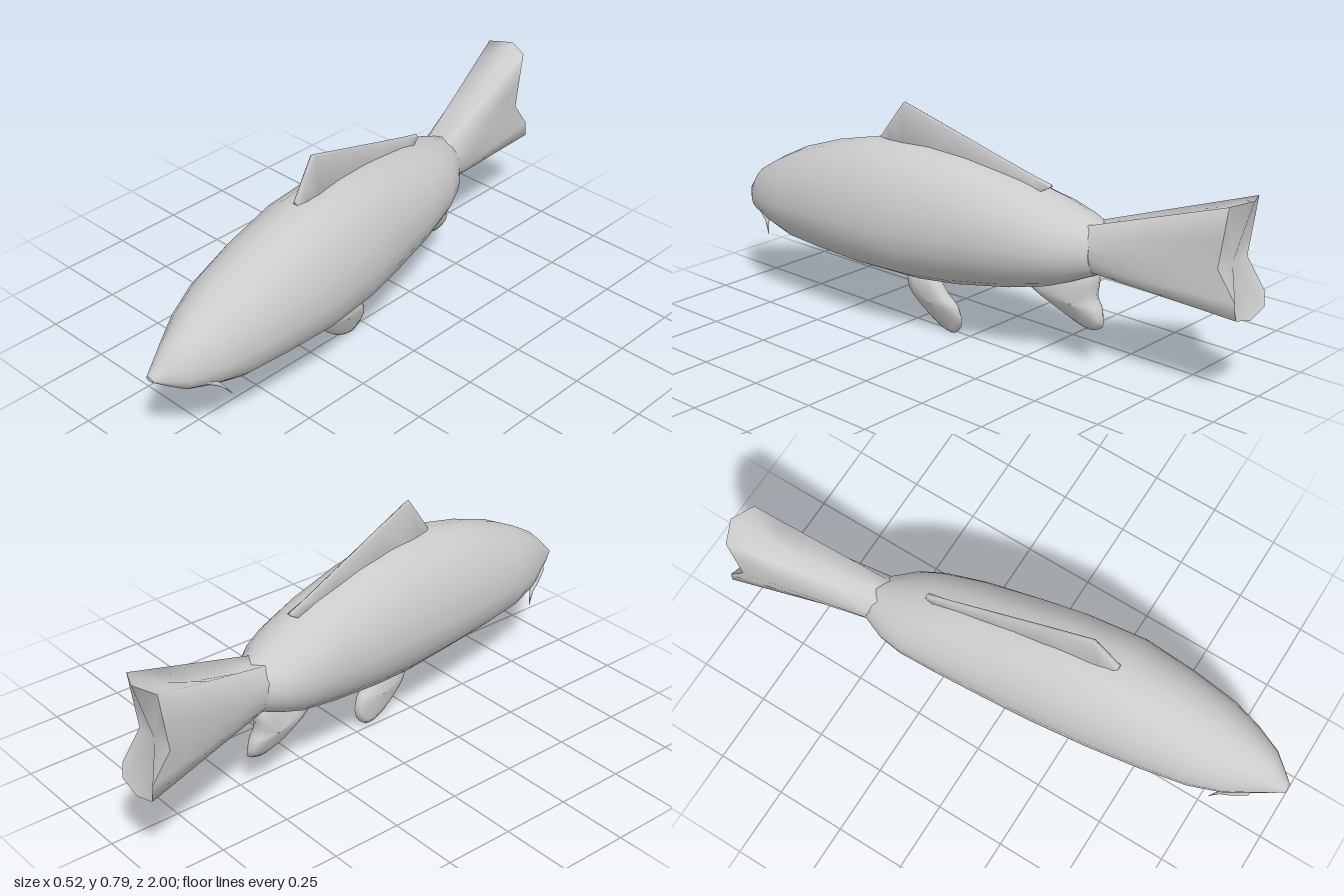
import * as THREE from 'three';

const material = new THREE.MeshStandardMaterial({ color: 0xcccccc });
const twoSided = new THREE.MeshStandardMaterial({ color: 0xcccccc, side: THREE.DoubleSide });
const lerp = THREE.MathUtils.lerp;

// Linear lookup in a list of [key, value] with falling keys
function lookup(list, k) {
  for (let i = 1; i < list.length; i++) {
    const [k0, v0] = list[i - 1], [k1, v1] = list[i];
    if (k >= k1) return lerp(v0, v1, (k0 - k) / (k0 - k1));
  }
  return list[list.length - 1][1];
}

// x of the fish's gently bent middle line
const MIDLINE = [[1, 0.09], [0.73, 0.085], [0.3, 0.053], [0, 0.01], [-0.35, -0.047], [-0.5, -0.08], [-1, -0.18]];
const midX = (z) => lookup(MIDLINE, z);

function toMesh(name, positions, index, mat = material) {
  const g = new THREE.BufferGeometry();
  g.setAttribute('position', new THREE.Float32BufferAttribute(positions, 3));
  g.setIndex(index);
  g.computeVertexNormals();
  const mesh = new THREE.Mesh(g, mat);
  mesh.name = name;
  return mesh;
}

// Skin over closed rings ordered from front to back; both ends get a hard-edged fan
function loft(name, rings, backCentre) {
  const n = rings[0].length, pos = rings.flat(2), idx = [];
  for (let i = 0; i < rings.length - 1; i++) {
    for (let j = 0; j < n; j++) {
      const a = i * n + j, b = i * n + (j + 1) % n;
      idx.push(a, a + n, b, b, a + n, b + n);
    }
  }
  const cap = (ring, flip, centre) => {
    const base = pos.length / 3;
    const mid = centre || [0, 1, 2].map((k) => ring.reduce((s, p) => s + p[k], 0) / n);
    pos.push(...ring.flat(), ...mid);
    for (let j = 0; j < n; j++) {
      const a = base + j, b = base + (j + 1) % n;
      idx.push(base + n, flip ? b : a, flip ? a : b);
    }
  };
  cap(rings[0], false);
  cap(rings[rings.length - 1], true, backCentre);
  return toMesh(name, pos, idx);
}

// Body sections: z, centre x, half width, bottom y, widest y, top y
const BODY = [
  [1.0, 0.09, 0.015, 0.343, 0.35, 0.357],
  [0.96, 0.095, 0.045, 0.315, 0.345, 0.40],
  [0.91, 0.1, 0.08, 0.282, 0.345, 0.45],
  [0.82, 0.09, 0.125, 0.25, 0.355, 0.505],
  [0.71, 0.082, 0.16, 0.22, 0.37, 0.56],
  [0.55, 0.071, 0.184, 0.207, 0.385, 0.615],
  [0.36, 0.058, 0.202, 0.197, 0.395, 0.66],
  [0.15, 0.032, 0.2, 0.192, 0.4, 0.662],
  [0, 0.01, 0.19, 0.203, 0.405, 0.645],
  [-0.2, -0.02, 0.175, 0.235, 0.41, 0.605],
  [-0.34, -0.045, 0.157, 0.268, 0.412, 0.565],
  [-0.42, -0.06, 0.132, 0.3, 0.415, 0.535],
  [-0.5, -0.08, 0.08, 0.335, 0.417, 0.5],
];

function makeBody() {
  const sides = 20;
  return loft('body', BODY.map(([z, cx, hw, bottom, mid, top]) =>
    Array.from({ length: sides }, (_, j) => {
      const a = (j / sides) * Math.PI * 2, s = Math.sin(a);
      return [cx + hw * Math.cos(a), mid + s * (s > 0 ? top - mid : mid - bottom), z];
    })));
}

// Thick flaring tail with a notched rear face
function makeTail() {
  const side = [-0.88, -0.6, -0.1, 0.4, 0.96];
  const profile = [...side.map((v) => [1, v]), [0, 1],
    ...side.slice().reverse().map((v) => [-1, v]), [0, -1]];
  const rear = [[0.67, -0.957], [0.453, -0.925], [0.355, -0.995], [0.27, -1.0]];
  const rings = [0, 0.12, 0.35, 0.6, 0.82, 1].map((s) => profile.map(([u, v]) => {
    const yEnd = 0.4725 + v * 0.1925;
    const yStart = 0.42 + v * 0.07;
    const z = lerp(-0.42, lookup(rear, yEnd), s);
    const round = lerp(Math.sqrt(1 - v * v * 0.85), 1, s);
    const centre = lerp(-0.066, -0.177, s);
    // the middle of the upper and lower edges dips between root and rim
    const dip = u === 0 ? -v * 0.035 * Math.sin(s * Math.PI) : 0;
    const tip = u === 0 && s === 1 ? -0.035 * (v > 0 ? 1 : 0.15) : 0;
    return [centre + u * 0.081 * round, lerp(yStart, yEnd, s) + dip, Math.max(z + tip, -1)];
  }));
  return loft('tail', rings, [-0.177, 0.453, -0.925]);
}

// Rounded fin blade: [z, y] outline swelling to a half thickness set by height
function makeBlade(name, outline, halfThickness, xAt) {
  const pts = new THREE.CatmullRomCurve3(outline.map(([z, y]) => new THREE.Vector3(0, y, z)), true).getPoints(28).slice(0, -1);
  const n = pts.length;
  const centre = pts.reduce((s, p) => s.add(p), new THREE.Vector3()).divideScalar(n);
  const pos = [], idx = [];
  // layers run from one face, round the rim, to the other
  const layers = [[0.02, 1], [0.55, 0.88], [0.85, 0.55], [1, 0], [0.85, -0.55], [0.55, -0.88], [0.02, -1]];
  layers.forEach(([k, t], i) => pts.forEach((p, j) => {
    const q = centre.clone().lerp(p, k);
    pos.push(xAt(q.y, q.z) + t * halfThickness(q.y), q.y, q.z);
    if (i) {
      const a = (i - 1) * n + j, b = (i - 1) * n + (j + 1) % n;
      idx.push(a, b, a + n, b, b + n, a + n);
    }
  }));
  return toMesh(name, pos, idx, twoSided);
}

// Long dorsal fin: wide at the back, thin at its upper edge
function makeDorsalFin() {
  // z, base y, edge y, half width at base
  const sections = [[0.355, 0.63, 0.667, 0.02], [0.31, 0.62, 0.728, 0.024], [0.26, 0.62, 0.795, 0.026],
    [0.1, 0.61, 0.741, 0.026], [-0.1, 0.58, 0.673, 0.022], [-0.25, 0.56, 0.623, 0.018], [-0.315, 0.596, 0.604, 0.012]];
  return loft('dorsalFin', sections.map(([z, y0, y1, w]) => {
    const x = lerp(-0.042, 0.052, (z + 0.31) / 0.64);
    const edge = w * 0.4;
    return [[x + w, y0, z], [x + edge, y1 - 0.006, z], [x, y1, z], [x - edge, y1 - 0.006, z], [x - w, y0, z]];
  }));
}

// Pointed barbel at a corner of the mouth
function makeBarbel(side) {
  const x = 0.087;
  const rings = [[0.07, 0.335, 0.9, 0.012], [0.092, 0.31, 0.85, 0.014], [0.105, 0.285, 0.815, 0.009], [0.127, 0.245, 0.785, 0.001]];
  const mesh = loft('barbel', rings.map(([dx, y, z, r]) =>
    Array.from({ length: 6 }, (_, j) => {
      const a = (j / 6) * Math.PI * 2;
      return [x + side * dx + r * Math.cos(a), y + r * Math.sin(a), z];
    })));
  mesh.name = side > 0 ? 'leftBarbel' : 'rightBarbel';
  return mesh;
}

export function createModel() {
  const fish = new THREE.Group();
  fish.name = 'fish';
  fish.add(makeBody(), makeTail(), makeDorsalFin(), makeBarbel(1), makeBarbel(-1));

  // Belly fin, leaning slightly to the right toward its tip
  fish.add(makeBlade('bellyFin',
    [[0.25, 0.21], [0.25, 0.14], [0.2, 0.075], [0.13, 0.02], [0.06, 0.003], [0.015, 0.05], [0.025, 0.105], [0.07, 0.145], [0.13, 0.21]],
    (y) => lerp(0.008, 0.036, Math.min(y / 0.13, 1)),
    (y) => lerp(0.018, 0.042, Math.min(y / 0.17, 1))));

  // Rear fin under the tail root
  fish.add(makeBlade('rearFin',
    [[-0.22, 0.26], [-0.31, 0.195], [-0.4, 0.15], [-0.47, 0.137], [-0.517, 0.16], [-0.51, 0.205], [-0.485, 0.25], [-0.485, 0.34], [-0.35, 0.32]],
    (y) => lerp(0.015, 0.042, THREE.MathUtils.clamp((y - 0.137) / 0.08, 0, 1)),
    (y, z) => lerp(-0.066, midX(z), THREE.MathUtils.clamp((y - 0.14) / 0.15, 0, 1))));
  return fish;
}
